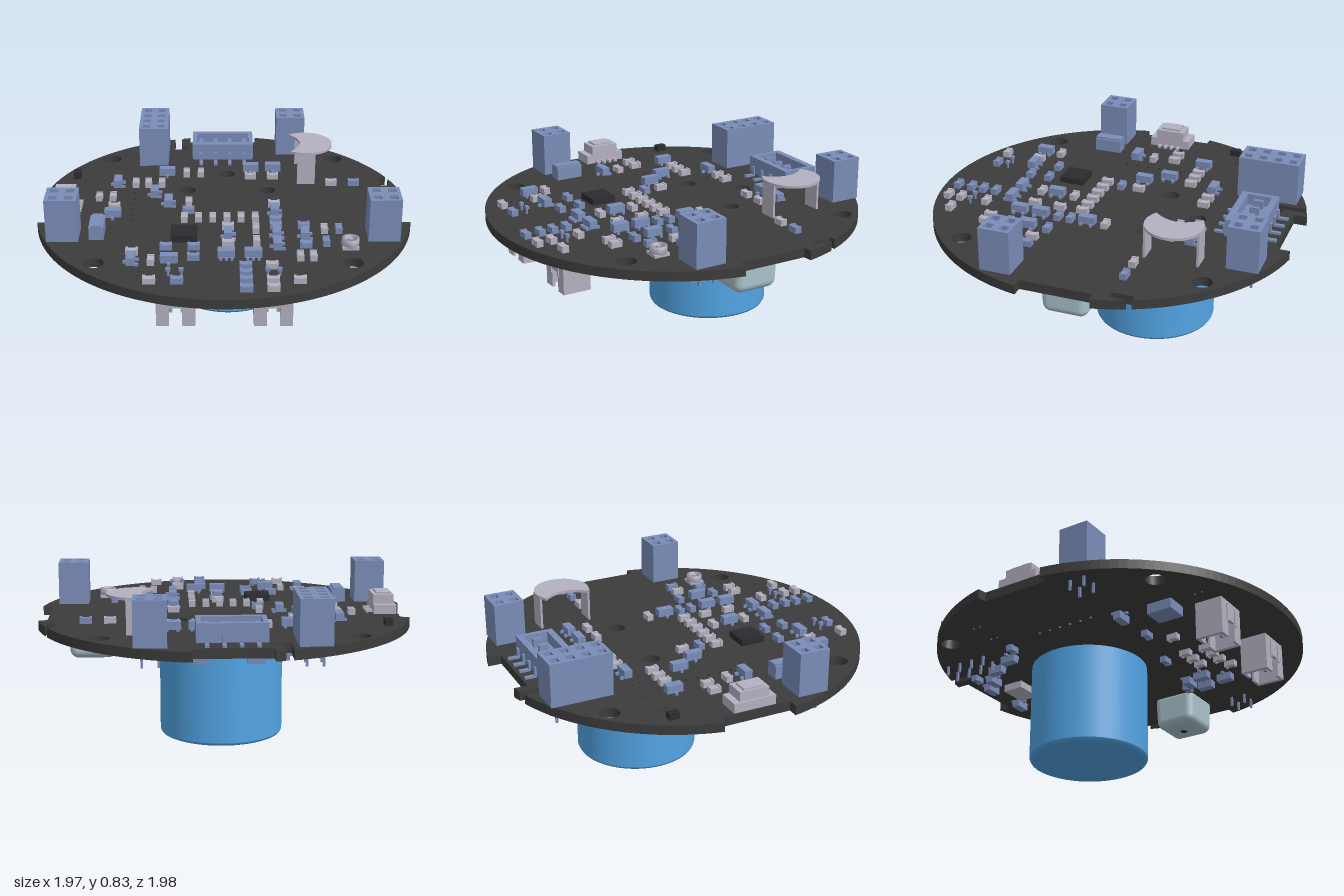
import * as THREE from 'three';
import { RoundedBoxGeometry } from 'three/addons/geometries/RoundedBoxGeometry.js';

const paint = (c) => new THREE.MeshStandardMaterial({ color: c, side: THREE.DoubleSide });
const TOP = 0.6, BOTTOM = 0.55;

export function createModel() {
  const model = new THREE.Group();
  const dark = paint(0x3c3c3c), blue = paint(0x7a8cb8), grey = paint(0xb4b0c0);
  const bright = paint(0x52a4e4), pale = paint(0xa9c2ca), black = paint(0x2c2c30);

  const add = (name, geo, mat, x = 0, y = 0, z = 0, parent = model) => {
    const m = new THREE.Mesh(geo, mat);
    m.name = name;
    m.position.set(x, y, z);
    parent.add(m);
    return m;
  };
  const box = (name, mat, w, h, d, x, y, z, parent) =>
    add(name, new THREE.BoxGeometry(w, h, d), mat, x, y, z, parent);
  const group = (name, x = 0, y = 0, z = 0) => {
    const g = new THREE.Group();
    g.name = name;
    g.position.set(x, y, z);
    model.add(g);
    return g;
  };
  // Flat outline (x, -z) extruded upwards
  const slab = (shape, h, curveSegments = 16) =>
    new THREE.ExtrudeGeometry(shape, { depth: h, bevelEnabled: false, curveSegments }).rotateX(-Math.PI / 2);
  const circle = (x, z, r) => new THREE.Path().absarc(x, -z, r, 0, Math.PI * 2, true);
  const rect = (P, x, y, w, h) => {
    const p = new P();
    p.moveTo(x - w / 2, y - h / 2).lineTo(x + w / 2, y - h / 2);
    p.lineTo(x + w / 2, y + h / 2).lineTo(x - w / 2, y + h / 2).closePath();
    return p;
  };

  // Circuit board: disc with side flats, latch slots and drilled holes
  const s = new THREE.Shape();
  const arc = (x0, y0, x1, y1) => s.absarc(0, 0, 1, Math.atan2(y0, x0), Math.atan2(y1, x1), false);
  const lines = (...pts) => pts.forEach(([x, y]) => s.lineTo(x, y));
  arc(-0.29, 0.957, -0.978, 0.21);
  lines([-0.93, 0.205], [-0.93, -0.175]);
  arc(-0.985, -0.175, 0.985, -0.175);
  lines([0.93, -0.175], [0.93, 0.205]);
  arc(0.978, 0.21, 0.927, 0.375);
  lines([0.92, 0.285], [0.88, 0.285], [0.88, 0.4]);
  arc(0.917, 0.4, 0.19, 0.982);
  lines([0.19, 0.91], [-0.2, 0.91], [-0.2, 0.98], [-0.25, 0.968], [-0.25, 0.84], [-0.21, 0.84], [-0.21, 0.8], [-0.29, 0.8]);
  for (const x of [-0.65, 0.64]) for (const z of [-0.66, 0.63]) s.holes.push(circle(x, z, 0.052));
  for (const [x, z] of [[0.02, -0.445], [-0.2, -0.225], [0.24, -0.225]]) s.holes.push(circle(x, z, 0.044));
  for (let i = 0; i < 6; i++) s.holes.push(circle(-0.495, -0.18 + i * 0.065, 0.011));
  for (const [x, z] of [[-0.725, -0.42], [-0.58, -0.42], [-0.42, -0.42], [-0.42, 0.74], [0.45, 0.745]])
    for (const dz of [-0.02, 0.02]) s.holes.push(circle(x, z + dz, 0.008));
  add('circuitBoard', slab(s, TOP - BOTTOM, 32), dark, 0, BOTTOM, 0);

  // Large round body hanging below, with a rounded rim and a grooved base
  const can = [[0, 0.006], [0.245, 0.006], [0.248, 0], [0.305, 0], [0.316, 0.005], [0.322, 0.016], [0.322, 0.55], [0, 0.55]];
  const canParts = group('roundSensorCan', 0.023, 0, -0.217);
  for (const [a, b] of [[0, 3], [3, 5], [5, 6], [6, 7]])
    add('canSurface', new THREE.LatheGeometry(can.slice(a, b + 1).map((p) => new THREE.Vector2(...p)), 64), bright, 0, 0, 0, canParts);

  // Pale rounded block under the board, narrowing downwards
  const cap = new RoundedBoxGeometry(0.26, 0.21, 0.255, 4, 0.045);
  const cp = cap.attributes.position;
  for (let i = 0; i < cp.count; i++) {
    const k = 0.97 + 0.03 * (cp.getY(i) / 0.105);
    cp.setXYZ(i, cp.getX(i) * k, Math.min(cp.getY(i), 0.075), cp.getZ(i) * k);
  }
  add('paleBlock', cap, pale, 0.7, 0.475, -0.007);
  add('paleBlockVent', new THREE.CylinderGeometry(0.02, 0.02, 0.004, 16), black, 0.7, 0.37, -0.007);

  // Two cable sockets below the front edge
  for (const x of [-0.24, 0.24]) {
    const g = group('cableSocket', x, 0, 0.745);
    const h = 0.2, y = 0.45;
    for (const sx of [-1, 1]) {
      box('socketSide', grey, 0.02, h, 0.15, sx * 0.086, y, 0, g);
      box('socketFrontPanel', grey, 0.045, h, 0.015, sx * 0.055, y, 0.067, g);
      box('socketBackPanel', grey, 0.06, h, 0.015, sx * 0.05, y, -0.067, g);
      box('socketPin', blue, 0.016, 0.13, 0.016, sx * 0.035, 0.46, 0, g);
      box('socketRib', grey, 0.012, 0.1, 0.012, sx * 0.04, 0.48, 0.074, g);
    }
    box('socketFloor', grey, 0.16, 0.06, 0.14, 0, 0.52, 0, g);
    box('socketFrontTop', grey, 0.07, 0.1, 0.015, 0, 0.5, 0.067, g);
    box('socketBackTop', grey, 0.07, 0.15, 0.015, 0, 0.475, -0.067, g);
  }

  // Tall pin sockets with square openings and solder pins below
  const header = (x, z, cols, rows) => {
    const p = 0.082, g = group('pinHeader', x, 0, z);
    const o = rect(THREE.Shape, 0, 0, cols * p, rows * p);
    for (let i = 0; i < cols; i++) for (let j = 0; j < rows; j++) {
      const px = (i - (cols - 1) / 2) * p, pz = (j - (rows - 1) / 2) * p;
      o.holes.push(rect(THREE.Path, px, -pz, 0.042, 0.042));
      box('contact', blue, 0.016, 0.14, 0.024, px, 0.74, pz, g);
      box('solderPin', blue, 0.012, 0.06, 0.012, px, 0.525, pz, g);
    }
    box('headerFloor', black, cols * p - 0.01, 0.1, rows * p - 0.01, 0, 0.655, 0, g);
    add('headerHousing', slab(o, 0.23), blue, 0, TOP, 0, g);
  };
  header(-0.402, -0.728, 2, 4);
  header(0.39, -0.81, 2, 2);
  header(-0.83, 0.317, 2, 2);
  header(0.82, 0.317, 2, 2);

  // Low four-way connector with surface leads
  const conn = group('fourWayConnector', -0.005, 0, -0.73);
  const shell = rect(THREE.Shape, 0, 0, 0.35, 0.2);
  shell.holes.push(rect(THREE.Path, 0, 0, 0.3, 0.13));
  add('connectorShell', slab(shell, 0.095), blue, 0, 0.61, 0, conn);
  box('connectorFloor', blue, 0.34, 0.03, 0.19, 0, 0.63, 0, conn);
  for (let i = 0; i < 4; i++) {
    const x = -0.125 + i * 0.083;
    box('connectorPin', blue, 0.022, 0.05, 0.05, x, 0.665, 0, conn);
    for (const sz of [-1, 1]) {
      box('leadFoot', blue, 0.02, 0.012, 0.06, x, 0.606, sz * 0.135, conn);
      box('leadRise', blue, 0.02, 0.05, 0.012, x, 0.63, sz * 0.11, conn);
    }
  }

  // Raised metal clip: crescent-cut disc with dimple on two legs
  const clip = group('metalClip', 0.46, 0, -0.455);
  const c = new THREE.Shape();
  c.absarc(0, 0, 0.15, -2.2, 2.2, false);
  c.quadraticCurveTo(0.03, 0, -0.088, -0.121);
  add('clipPlate', slab(c, 0.014, 24), grey, 0, 0.775, 0, clip);
  add('clipDimple', new THREE.SphereGeometry(0.045, 20, 8, 0, Math.PI * 2, Math.PI / 2, Math.PI / 2).scale(1, 0.5, 1), grey, 0.01, 0.778, 0, clip);
  for (const sz of [-1, 1]) {
    box('clipLeg', grey, 0.1, 0.185, 0.012, 0, 0.69, sz * 0.139, clip);
    box('clipPeg', grey, 0.03, 0.05, 0.012, 0.01, 0.575, sz * 0.139, clip);
  }

  // Side plug with stepped body
  const plug = group('sidePlug', -0.85, 0, -0.015);
  box('plugBase', grey, 0.12, 0.05, 0.23, -0.01, 0.625, 0, plug);
  box('plugBody', grey, 0.11, 0.06, 0.16, -0.005, 0.67, 0, plug);
  box('plugRidge', grey, 0.08, 0.02, 0.11, -0.01, 0.7, 0, plug);
  for (let i = 0; i < 4; i++) box('plugLead', grey, 0.05, 0.014, 0.015, 0.06, 0.607, -0.054 + i * 0.036, plug);

  // Individual larger parts
  box('blueBlock', blue, 0.075, 0.07, 0.15, -0.657, 0.635, 0.305);
  box('blueBlockTop', blue, 0.055, 0.012, 0.15, -0.657, 0.674, 0.305);
  box('processorChip', black, 0.135, 0.035, 0.135, -0.207, 0.6175, 0.338);
  box('smallChip', black, 0.04, 0.035, 0.055, -0.828, 0.6175, -0.41);
  box('coaxBase', grey, 0.085, 0.015, 0.085, 0.64, 0.6075, 0.455);
  add('coaxBarrel', new THREE.LatheGeometry([[0.028, 0], [0.045, 0], [0.045, 0.04], [0.028, 0.04], [0.028, 0]].map((p) => new THREE.Vector2(...p)), 20), grey, 0.64, 0.61, 0.455);
  add('coaxPin', new THREE.CylinderGeometry(0.01, 0.01, 0.035, 12), grey, 0.64, 0.63, 0.455);
  for (const x of [-0.275, -0.21, 0.21, 0.27]) {
    add('indicatorStem', new THREE.CylinderGeometry(0.007, 0.007, 0.03, 8), blue, x, 0.615, 0.76);
    box('indicatorHead', blue, 0.024, 0.016, 0.02, x, 0.635, 0.76);
  }

  // Small chips: side is 1 on top of the board, -1 underneath
  const spots = (side, list, build) => list.forEach(([x, z]) => {
    const g = group('smallComponent', x, side > 0 ? TOP : BOTTOM, z);
    build(g, side);
  });
  const chip = (mat, turned) => (g, k) => {
    box('chipBody', mat, 0.034, 0.03, 0.038, 0, k * 0.015, 0, g);
    for (const e of [-1, 1]) box('chipEnd', mat, 0.036, 0.034, 0.012, 0, k * 0.017, e * 0.025, g);
    if (turned) g.rotation.y = Math.PI / 2;
  };
  const transistor = (turned, legs = 1) => (g, k) => {
    box('transistorBody', blue, 0.044, 0.042, 0.088, 0, k * 0.027, 0, g);
    const leg = (x, z) => box('transistorLeg', blue, 0.02, 0.014, 0.014, x, k * 0.007, z, g);
    for (const z of [-0.028, 0.028]) { leg(0.03, z); if (legs > 1) leg(-0.03, z); }
    leg(-0.03, 0);
    if (turned) g.rotation.y = Math.PI / 2;
  };
  spots(1, [[-0.59, -0.29], [-0.38, -0.155], [-0.3, -0.035], [0.27, 0.08], [0.27, 0.345], [0.27, 0.465],
    [0.415, 0.355], [0.02, 0.355], [-0.465, 0.63]], transistor(false));
  spots(1, [[-0.32, -0.43], [0.155, -0.485], [0.28, -0.49], [-0.59, 0.11], [-0.275, 0.625]], transistor(true));
  spots(1, [[0.01, 0.57], [0.145, 0.57]], transistor(true, 2));
  spots(1, [[-0.21, -0.43], [-0.13, -0.43], [-0.49, -0.29], [-0.42, -0.29], [-0.345, -0.29], [-0.68, -0.11],
    [-0.605, -0.11], [-0.19, -0.04], [0.165, 0.28], [0.165, 0.425], [0.52, 0.285], [0.38, 0.585], [0.445, 0.585],
    [-0.365, 0.63], [-0.21, 0.15], [-0.135, 0.15], [-0.06, 0.15], [0.015, 0.15], [0.09, 0.15], [0.165, 0.15]], chip(grey, false));
  spots(1, [[0.595, 0.285], [0.52, 0.43]], chip(blue, false));
  spots(1, [[0.15, -0.385], [0.275, -0.385], [0.6, -0.295], [0.27, -0.02], [0.02, 0.255], [0.02, 0.445], [-0.465, 0.535],
    [-0.59, 0.01], [0.235, 0.68], [-0.365, 0.83], [0.235, 0.83], [0.365, 0.83], [0.235, 0.905]], chip(grey, true));
  spots(1, [[0.725, -0.295], [-0.19, 0.06], [0.27, 0.175], [0.27, 0.245], [0.415, 0.245], [0.415, 0.46], [-0.295, 0.48],
    [-0.155, 0.48], [-0.155, 0.59], [0.105, 0.685], [0.105, 0.76], [0.105, 0.83], [0.105, 0.91], [-0.23, 0.83]], chip(blue, true));

  // Underside parts
  box('lowerBlock', blue, 0.12, 0.055, 0.14, -0.4, 0.522, 0.53);
  box('lowerModule', grey, 0.16, 0.04, 0.12, 0, 0.53, -0.68);
  spots(-1, [[0.47, 0.4], [0.5, 0.26], [0.38, 0.3], [-0.37, -0.48], [-0.3, -0.62], [0.4, -0.5]], transistor(false));
  spots(-1, [[-0.12, -0.8], [0.15, -0.8], [-0.2, -0.72], [0.42, 0.2], [-0.45, 0.3]], transistor(true));
  spots(-1, [[0.1, 0.36], [0.18, 0.36], [0.26, 0.36], [0.1, 0.48], [0.18, 0.48], [0.26, 0.48], [0.35, 0.5], [-0.1, 0.4]], chip(grey, false));
  spots(-1, [[0.5, 0.14], [-0.45, -0.4], [-0.25, -0.8], [0.3, -0.6], [0.12, 0.22], [-0.2, 0.3]], chip(blue, true));
  return model;
}
